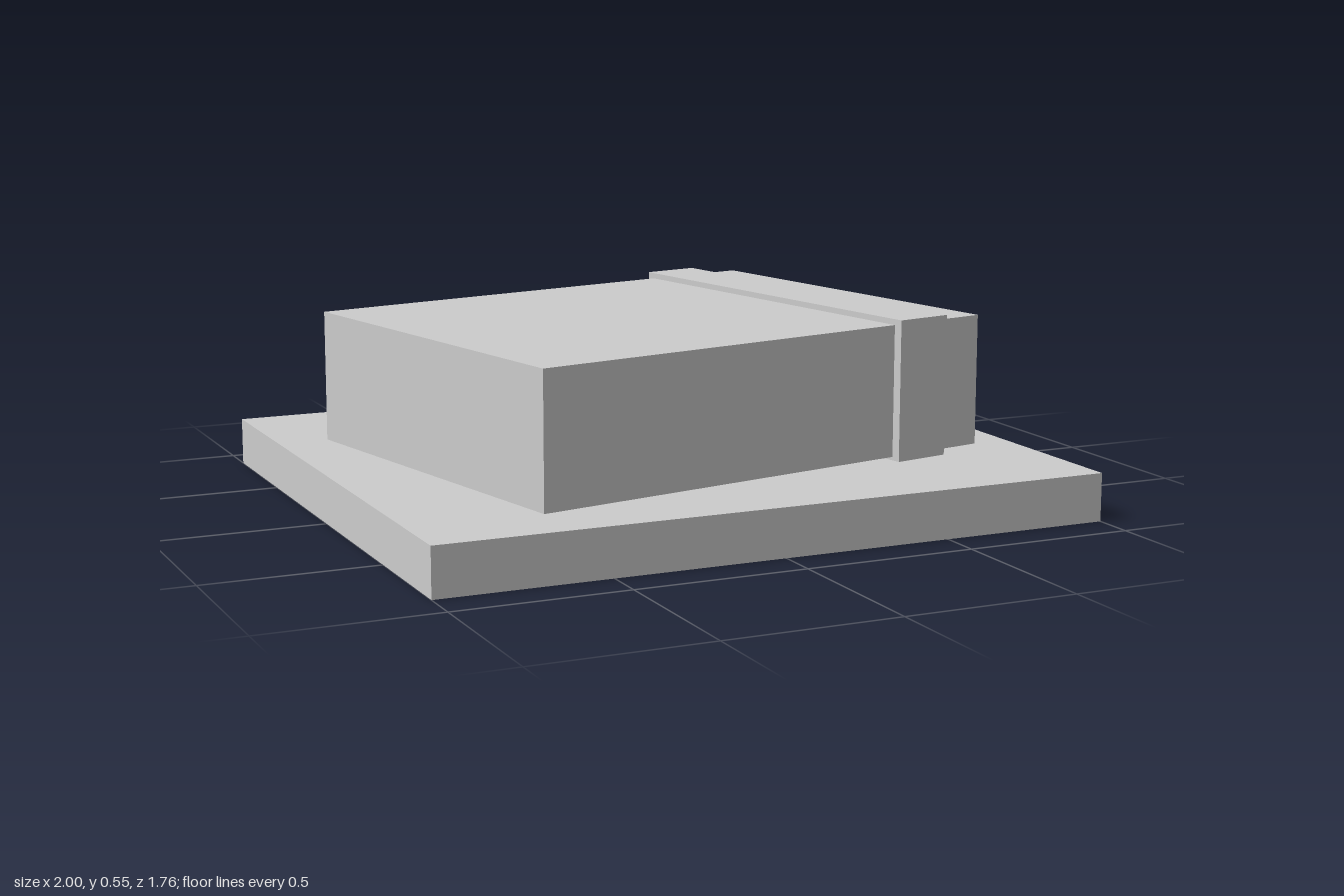
import * as THREE from 'three';

export function createModel() {
  const model = new THREE.Group();
  const grey = new THREE.MeshStandardMaterial({ color: 0xcccccc });
  grey.name = 'light grey';

  // Box resting on height y, offset along x
  function addBox(parent, name, width, height, depth, x, y) {
    const mesh = new THREE.Mesh(new THREE.BoxGeometry(width, height, depth), grey);
    mesh.name = name;
    mesh.position.set(x, y + height / 2, 0);
    parent.add(mesh);
  }

  // Flat slab underneath
  addBox(model, 'base', 2, 0.14, 1.76, 0, 0);

  // Turned block with a slightly larger band wrapped round it
  const block = new THREE.Group();
  block.name = 'bandedBlock';
  block.rotation.y = 0.198;
  addBox(block, 'block', 1.525, 0.385, 1.173, 0, 0.15);
  addBox(block, 'band', 0.174, 0.412, 1.229, 0.527, 0.14);
  model.add(block);

  return model;
}
